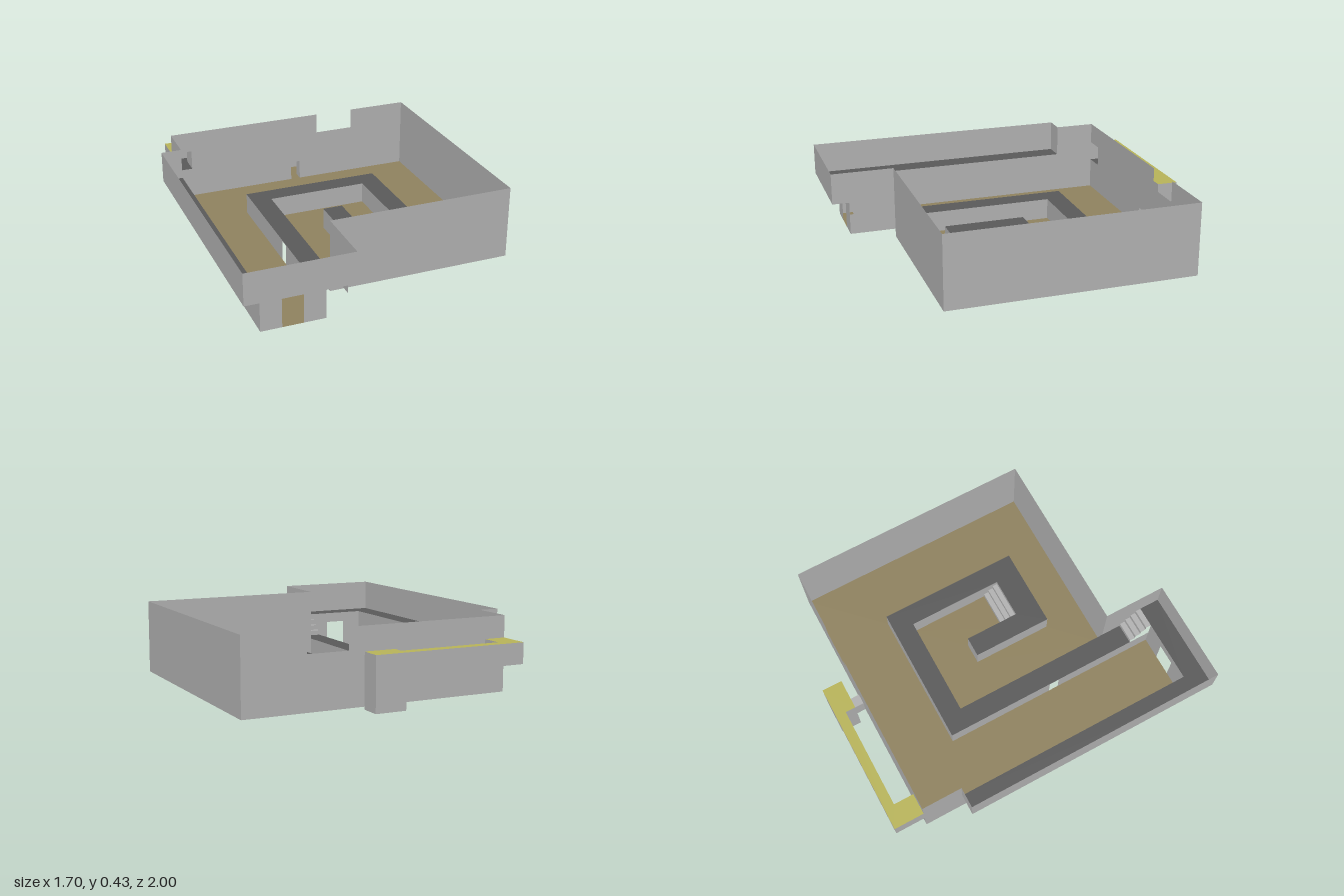
import * as THREE from 'three';

export function createModel() {
  const model = new THREE.Group();
  model.name = 'spiralCourtyard';

  const material = (name, color) => {
    const m = new THREE.MeshStandardMaterial({ color, side: THREE.DoubleSide, flatShading: true });
    m.name = name;
    return m;
  };
  const wallGrey = material('wallGrey', 0xb2b2b2);
  const walkwayGrey = material('walkwayGrey', 0x5a5a5a);
  const floorBrown = material('floorBrown', 0x8f825f);
  const roofYellow = material('roofYellow', 0xb8b459);

  // Flat sheet across one axis: 'x' takes [z, y], 'y' takes [x, z], 'z' takes [x, y]
  const sheet = (name, axis, at, points, mat = wallGrey) => {
    const shape = new THREE.Shape(points.map(([u, v]) => new THREE.Vector2(u, v)));
    const geo = new THREE.ShapeGeometry(shape);
    const p = geo.attributes.position;
    for (let i = 0; i < p.count; i++) {
      const u = p.getX(i), v = p.getY(i);
      if (axis === 'x') p.setXYZ(i, at, v, u);
      else if (axis === 'y') p.setXYZ(i, u, at, v);
      else p.setXYZ(i, u, v, at);
    }
    geo.computeVertexNormals();
    const mesh = new THREE.Mesh(geo, mat);
    mesh.name = name;
    model.add(mesh);
  };
  const rect = (u0, u1, v0, v1) => [[u0, v0], [u1, v0], [u1, v1], [u0, v1]];

  // Key heights: walkway, tunnel floor, balcony, tunnel roof, wall top
  const W = 0.125, T = 0.185, B = 0.245, R = 0.305, H = 0.43;

  // Ground floor, with the spiral channel left open
  sheet('groundFloor', 'y', 0, [
    [-0.73, -0.82], [0.845, -0.82], [0.845, 0.63], [-0.245, 0.63], [-0.245, -0.335],
    [0.36, -0.335], [0.36, 0.15], [0.12, 0.15], [0.12, -0.09], [0, -0.09], [0, 0.39],
    [0.48, 0.39], [0.48, -0.455], [-0.365, -0.455], [-0.365, 0.88], [-0.73, 0.88],
  ], floorBrown);

  // Raised spiral walkway
  sheet('spiralWalkway', 'y', W, [
    [-0.245, 0.75], [-0.245, -0.335], [0.36, -0.335], [0.36, 0.24], [0.12, 0.24],
    [0.12, -0.09], [0, -0.09], [0, 0.39], [0.48, 0.39], [0.48, -0.455],
    [-0.365, -0.455], [-0.365, 0.75],
  ], walkwayGrey);

  // Walls carrying the walkway
  sheet('channelWall', 'x', -0.245, rect(-0.335, 0.63, 0, W));
  sheet('channelWall', 'z', -0.335, rect(-0.245, 0.36, 0, W));
  sheet('channelWall', 'x', 0.36, rect(-0.335, 0.24, 0, W));
  sheet('channelWall', 'x', 0.12, rect(-0.09, 0.24, 0, W));
  sheet('channelWall', 'z', -0.09, rect(0, 0.12, 0, W));
  sheet('channelWall', 'x', 0, rect(-0.09, 0.39, 0, W));
  sheet('channelWall', 'z', 0.39, rect(0, 0.48, 0, W));
  sheet('channelWall', 'x', 0.48, rect(-0.455, 0.39, 0, W));
  sheet('channelWall', 'z', -0.455, rect(-0.365, 0.48, 0, W));
  sheet('channelDoorWall', 'x', -0.365, [
    [-0.455, 0], [0.2, 0], [0.2, 0.12], [0.26, 0.12], [0.26, 0], [0.88, 0], [0.88, W], [-0.455, W],
  ]);

  // Open-backed stairs climbing towards the front
  const stairs = (name, x0, x1, z0, z1, y0, y1, treads) => {
    const rise = (y1 - y0) / 4, run = (z1 - z0) / treads;
    for (let i = 0; i < 4; i++) {
      const z = z0 + i * run, y = y0 + i * rise;
      sheet(name + 'Riser', 'z', z, rect(x0, x1, y, y + rise));
      if (i < treads) sheet(name + 'Tread', 'y', y + rise, rect(x0, x1, z, z + run));
    }
  };
  stairs('balconyStair', -0.365, -0.245, 0.75, 0.88, W, B, 4);
  stairs('courtStair', 0.12, 0.36, 0.15, 0.24, 0, W, 3);

  // Outer walls
  sheet('leftWall', 'x', 0.845, rect(-0.82, 0.63, 0, H));
  sheet('frontWall', 'z', 0.63, rect(-0.245, 0.845, 0, H));
  sheet('rightWall', 'x', -0.73, [
    [-0.82, 0], [0.88, 0], [0.88, B], [-0.58, B], [-0.58, H], [-0.82, H],
  ]);
  sheet('frontDoorWall', 'z', 0.88, [
    [-0.73, 0], [-0.61, 0], [-0.61, T], [-0.49, T], [-0.49, 0], [-0.365, 0], [-0.365, B], [-0.73, B],
  ]);
  sheet('stairSideWall', 'x', -0.245, [
    [0.63, W], [0.88, W], [0.88, B], [1, B], [1, H], [0.63, H],
  ]);
  // Back wall with low doorway, top notch and tunnel mouth
  sheet('backWall', 'z', -0.82, [
    [-0.73, 0], [0.06, 0], [0.06, 0.12], [0.12, 0.12], [0.12, 0], [0.845, 0], [0.845, H],
    [0.48, H], [0.48, R], [0.24, R], [0.24, H], [-0.73, H], [-0.73, R], [-0.605, R],
    [-0.605, T], [-0.73, T],
  ]);

  // Balcony along the right side and front
  sheet('balconyFloor', 'y', B, [
    [-0.85, -0.58], [-0.73, -0.58], [-0.73, 0.88], [-0.245, 0.88], [-0.245, 1], [-0.85, 1],
  ], walkwayGrey);
  sheet('balconySideWall', 'x', -0.85, rect(-0.58, 1, B, H));
  sheet('balconyFrontWall', 'z', 1, rect(-0.85, -0.245, B, H));
  sheet('balconyEndWall', 'z', -0.58, rect(-0.85, -0.73, B, H));

  // Raised tunnel behind the back wall
  sheet('tunnelFloor', 'y', T, [
    [-0.73, -0.82], [-0.605, -0.82], [-0.605, -0.94], [0, -0.94], [0, -1], [-0.73, -1],
  ], walkwayGrey);
  sheet('tunnelRoof', 'y', R, [
    [-0.73, -0.82], [-0.605, -0.82], [-0.605, -0.94], [0, -0.94], [0, -0.88],
    [0.18, -0.88], [0.18, -1], [-0.73, -1],
  ], roofYellow);
  sheet('tunnelEndWall', 'x', -0.73, rect(-1, -0.82, T, R));
  sheet('tunnelInnerWall', 'x', -0.605, rect(-0.94, -0.82, T, R));
  sheet('tunnelInnerWall', 'z', -0.94, rect(-0.605, 0, T, R));

  // Shaft under the tunnel end; its back wall runs on along the tunnel
  sheet('shaftAndTunnelBackWall', 'z', -1, [
    [-0.73, T], [0, T], [0, 0], [0.18, 0], [0.18, R], [-0.73, R],
  ]);
  sheet('shaftFloor', 'y', 0, rect(0, 0.18, -1, -0.88), floorBrown);
  sheet('shaftSideWall', 'x', 0.18, rect(-1, -0.88, 0, R));
  sheet('shaftTunnelWall', 'x', 0, [
    [-1, 0], [-0.88, 0], [-0.88, R], [-0.94, R], [-0.94, T], [-1, T],
  ]);
  sheet('shaftDoorWall', 'z', -0.88, [
    [0, 0], [0.06, 0], [0.06, 0.12], [0.12, 0.12], [0.12, 0], [0.18, 0], [0.18, R], [0, R],
  ]);

  // Low passage from the courtyard to the shaft
  sheet('passageFloor', 'y', 0, rect(0.06, 0.12, -0.88, -0.82), floorBrown);
  sheet('passageRoof', 'y', 0.12, rect(0.06, 0.12, -0.88, -0.82));
  for (const x of [0.06, 0.12]) sheet('passageWall', 'x', x, rect(-0.88, -0.82, 0, 0.12));

  return model;
}
